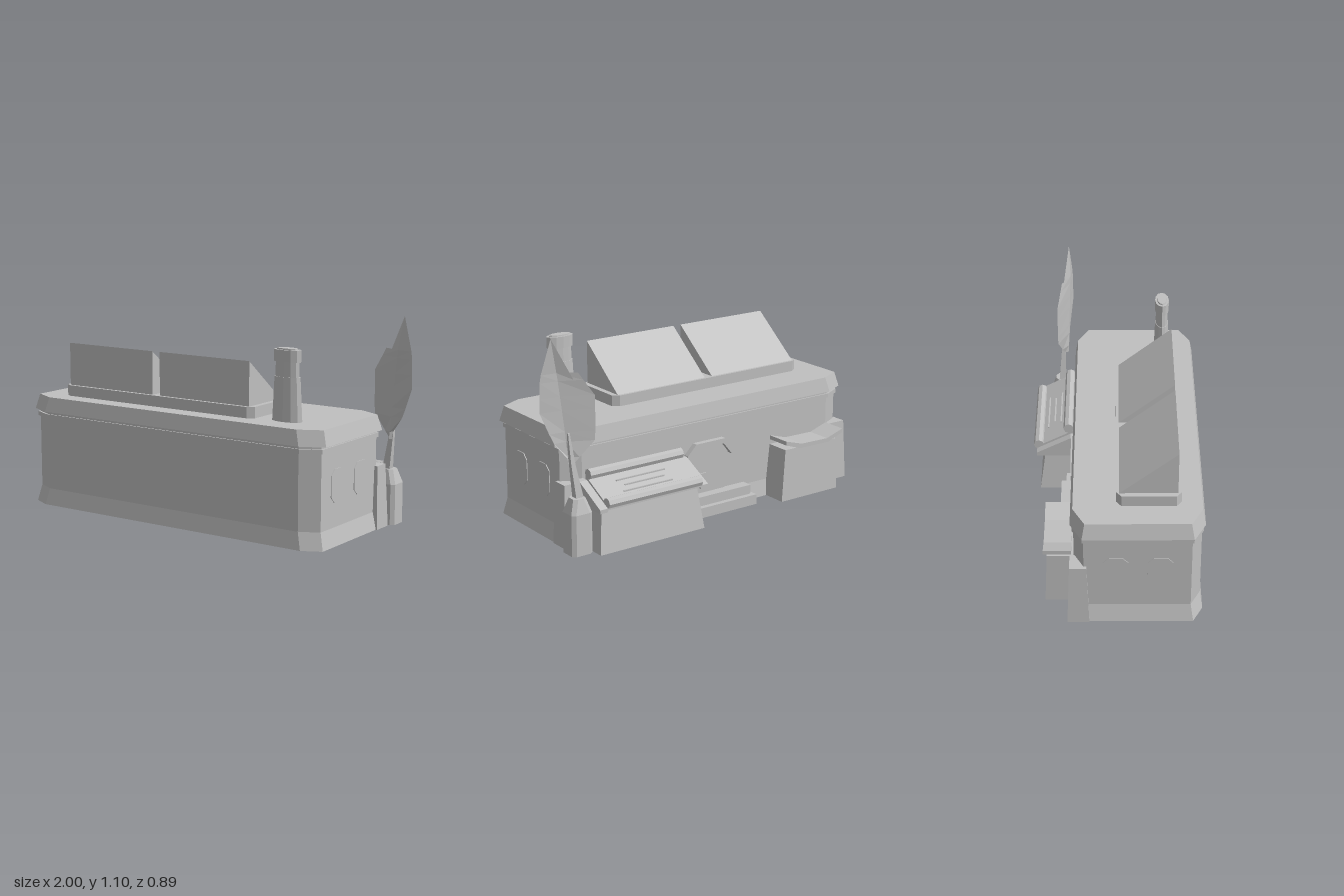
import * as THREE from 'three';

const grey = new THREE.MeshStandardMaterial({ color: 0xbfbfbf, side: THREE.DoubleSide, flatShading: true });
grey.name = 'plain grey';

// Rectangle outline with optional cut corners, seen from above
function outline(cx, cz, hx, hz, ax = 0, az = 0) {
  const pts = ax
    ? [[hx, hz - az], [hx, az - hz], [hx - ax, -hz], [ax - hx, -hz], [-hx, az - hz], [-hx, hz - az], [ax - hx, hz], [hx - ax, hz]]
    : [[hx, hz], [hx, -hz], [-hx, -hz], [-hx, hz]];
  return pts.map(([x, z]) => [cx + x, cz + z]);
}

function ellipse(cx, cz, rx, rz, n = 12) {
  return Array.from({ length: n }, (_, i) => {
    const a = (i / n) * Math.PI * 2;
    return [cx + rx * Math.cos(a), cz - rz * Math.sin(a)];
  });
}

// Faceted solid through stacked outlines: rings = [[y, points], ...]
function loft(rings, capped = true) {
  const pos = [];
  const tri = (...corners) => corners.forEach(([y, p]) => pos.push(p[0], y, p[1]));
  const n = rings[0][1].length;
  for (let r = 0; r < rings.length - 1; r++) {
    const [y0, lo] = rings[r], [y1, hi] = rings[r + 1];
    for (let i = 0; i < n; i++) {
      const j = (i + 1) % n;
      tri([y0, lo[i]], [y0, lo[j]], [y1, hi[j]]);
      tri([y0, lo[i]], [y1, hi[j]], [y1, hi[i]]);
    }
  }
  if (capped) {
    const [yb, b] = rings[0], [yt, t] = rings[rings.length - 1];
    for (let i = 1; i < n - 1; i++) {
      tri([yb, b[0]], [yb, b[i + 1]], [yb, b[i]]);
      tri([yt, t[0]], [yt, t[i]], [yt, t[i + 1]]);
    }
  }
  const g = new THREE.BufferGeometry();
  g.setAttribute('position', new THREE.Float32BufferAttribute(pos, 3));
  g.computeVertexNormals();
  return g;
}

const shapeOf = (pts) => new THREE.Shape(pts.map(([x, y]) => new THREE.Vector2(x, y)));

// Extrude an (x, y) outline between two z positions
function alongZ(pts, z0, z1) {
  return new THREE.ExtrudeGeometry(shapeOf(pts), { depth: z1 - z0, bevelEnabled: false }).translate(0, 0, z0);
}

// Extrude a (z, y) outline between two x positions
function alongX(pts, x0, x1) {
  const shape = shapeOf(pts.map(([z, y]) => [-z, y]));
  return new THREE.ExtrudeGeometry(shape, { depth: x1 - x0, bevelEnabled: false }).rotateY(Math.PI / 2).translate(x0, 0, 0);
}

function cutPanel(cx, cy, hx, hy, c) {
  return outline(cx, cy, hx, hy, c, c);
}

export function createModel() {
  const model = new THREE.Group();
  model.name = 'building';
  const add = (name, geometry) => {
    const mesh = new THREE.Mesh(geometry, grey);
    mesh.name = name;
    model.add(mesh);
    return mesh;
  };
  const box = (name, x0, x1, y0, y1, z0, z1) =>
    add(name, new THREE.BoxGeometry(x1 - x0, y1 - y0, z1 - z0).translate((x0 + x1) / 2, (y0 + y1) / 2, (z0 + z1) / 2));

  // Main building
  const cx = -0.065, cz = 0.108;
  const plan = (hx, hz, ax = 0.1, az = 0.05) => outline(cx, cz, hx, hz, ax, az);
  add('skirt', loft([[0, plan(0.927, 0.329)], [0.09, plan(0.905, 0.315)]], false));
  add('walls', loft([[0.09, plan(0.905, 0.315)], [0.53, plan(0.905, 0.315)]]));
  add('wallBand', loft([[0.48, plan(0.914, 0.323)], [0.503, plan(0.914, 0.323)]]));
  add('roof', loft([[0.517, plan(0.935, 0.332, 0.12, 0.06)], [0.597, plan(0.913, 0.318, 0.12, 0.06)]]));

  // Back corner pillars
  for (const s of [-1, 1]) {
    add('cornerPillar', loft([
      [0, outline(cx + s * 0.865, -0.185, 0.07, 0.055)],
      [0.33, outline(cx + s * 0.868, -0.185, 0.054, 0.042)],
    ]));
  }

  // Windows on both end walls
  for (const s of [-1, 1]) for (const z of [0.22, 0]) {
    const x = cx + s * 0.906;
    add('window', alongX(cutPanel(z, 0.3, 0.0625, 0.085, 0.03), x - 0.003, x + 0.003));
  }

  // Roof panels on their platform
  add('panelPlatform', loft([0.597, 0.655].map((y) => [y, outline(-0.217, 0.163, 0.617, 0.16, 0.035, 0.025)])));
  for (const x of [-0.808, -0.195]) {
    add('roofPanel', alongX([[0.305, 0.65], [0.305, 0.885], [0.018, 0.655], [0.018, 0.65]], x, x + 0.565));
  }

  // Chimney
  add('chimney', loft([
    [0.597, 0.087, 0.043], [0.82, 0.075, 0.036], [0.82, 0.07, 0.033], [0.895, 0.068, 0.032],
    [0.895, 0.078, 0.038], [0.955, 0.078, 0.038], [0.955, 0.062, 0.027], [0.962, 0.06, 0.026],
  ].map(([y, rx, rz]) => [y, ellipse(0.567, 0.258, rx, rz)])));

  // Counter with a sloping canopy
  add('counter', loft([[0, outline(0.45, -0.305, 0.32, 0.11)], [0.25, outline(0.45, -0.285, 0.29, 0.095)]]));
  const cheek = [[-0.2, 0.225], [-0.2, 0.34], [-0.245, 0.34], [-0.43, 0.245], [-0.43, 0.225], [-0.36, 0.225]];
  for (const x of [0.12, 0.735]) add('canopyCheek', alongX(cheek, x, x + 0.045));
  add('canopy', alongX([[-0.23, 0.335], [-0.23, 0.36], [-0.43, 0.257], [-0.43, 0.235]], 0.165, 0.735));
  for (const [z, y] of [[-0.255, 0.373], [-0.42, 0.268]]) {
    add('canopyRoll', new THREE.CylinderGeometry(0.028, 0.028, 0.57, 8).rotateZ(Math.PI / 2).translate(0.45, y, z));
  }
  [[-0.3, 0.15], [-0.335, 0.12], [-0.37, 0.15]].forEach(([z, half]) => {
    const y = 0.36 + (z + 0.23) * 0.515;
    box('canopySlat', 0.45 - half, 0.45 + half, y - 0.003, y + 0.005, z - 0.004, z + 0.004);
  });

  // Door, handle, hood and steps
  add('door', alongZ(cutPanel(-0.045, 0.225, 0.13, 0.135, 0.04), -0.213, -0.2));
  box('doorHandle', -0.03, 0.015, 0.19, 0.215, -0.221, -0.21);
  add('doorHood', alongZ([[0.105, 0.31], [0.105, 0.335], [0.05, 0.39], [-0.14, 0.39], [-0.21, 0.325], [-0.21, 0.295],
    [-0.185, 0.295], [-0.13, 0.363], [0.04, 0.363], [0.085, 0.31]], -0.238, -0.2));
  box('lowerStep', -0.31, 0.12, 0, 0.055, -0.297, -0.2);
  box('upperStep', -0.29, 0.12, 0.055, 0.105, -0.268, -0.2);

  // Storage bin with a bent lid
  add('bin', loft([[0, outline(-0.635, -0.275, 0.195, 0.08)], [0.285, outline(-0.65, -0.27, 0.18, 0.072)]]));
  add('binLid', alongZ([[-0.46, 0.318], [-0.46, 0.34], [-0.57, 0.308], [-0.75, 0.305], [-0.86, 0.34],
    [-0.86, 0.318], [-0.76, 0.282], [-0.56, 0.284]], -0.36, -0.22));

  // Plant pot
  const pot = (hx, hz) => outline(0.835, -0.307, hx, hz, 0.02, 0.015);
  add('pot', loft([[0, pot(0.06, 0.055)], [0.215, pot(0.06, 0.055)], [0.29, pot(0.035, 0.036)]]));

  // Plant stem
  add('stem', loft([
    [0.27, outline(0.825, -0.305, 0.022, 0.02)],
    [0.46, outline(0.852, -0.297, 0.012, 0.011)],
    [0.62, outline(0.866, -0.289, 0.005, 0.006)],
  ]));

  // Leaf: rows across the blade, each [y, one edge, midrib, other edge]
  const rows = [
    [0.45, 0.845, 0.852, 0.86], [0.49, 0.81, 0.856, 0.87], [0.57, 0.735, 0.864, 0.93], [0.62, 0.732, 0.868, 0.952],
    [0.73, 0.731, 0.88, 0.995], [0.8, 0.732, 0.888, 0.993], [0.88, 0.785, 0.897, 0.991], [0.92, 0.81, 0.902, 0.985],
  ];
  const leafZ = (x) => -0.283 + 0.32 * (x - 0.86);
  const v = [];
  const put = (x, y, lift = 0) => v.push(x, y, leafZ(x) + lift);
  for (let i = 0; i < rows.length - 1; i++) {
    const [y0, a0, m0, b0] = rows[i], [y1, a1, m1, b1] = rows[i + 1];
    for (const [p0, q0, p1, q1, lp, lq] of [[a0, m0, a1, m1, 0, 0.018], [m0, b0, m1, b1, 0.018, 0]]) {
      put(p0, y0, lp); put(q0, y0, lq); put(q1, y1, lq);
      put(p0, y0, lp); put(q1, y1, lq); put(p1, y1, lp);
    }
  }
  // Split tip above the notch
  put(0.832, 0.885); put(0.902, 0.92, 0.018); put(0.935, 1.095);
  put(0.902, 0.92, 0.018); put(0.985, 0.92); put(0.935, 1.095);
  const leaf = new THREE.BufferGeometry();
  leaf.setAttribute('position', new THREE.Float32BufferAttribute(v, 3));
  leaf.computeVertexNormals();
  add('leaf', leaf);

  return model;
}
